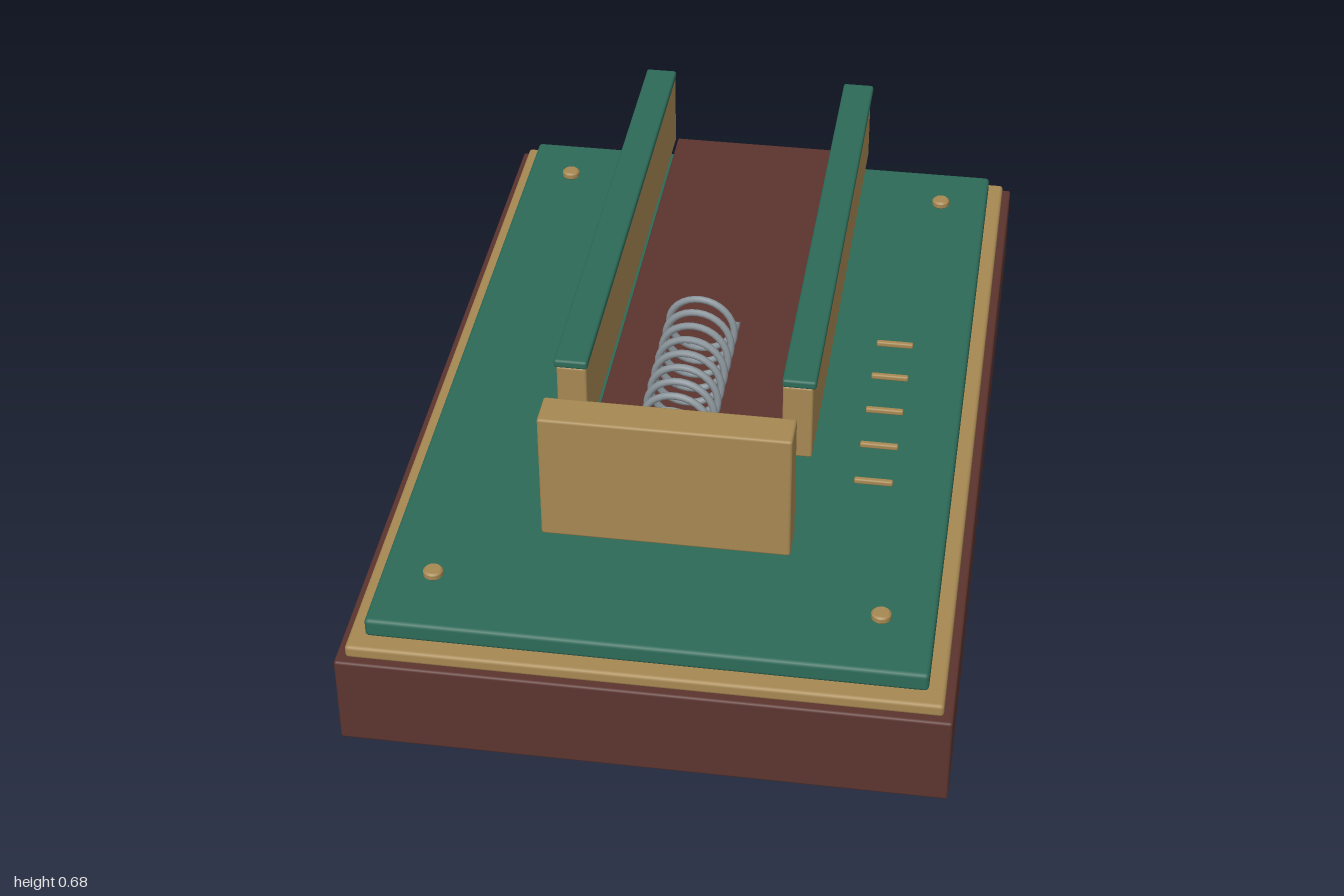
import * as THREE from 'three';
import { RoundedBoxGeometry } from 'three/addons/geometries/RoundedBoxGeometry.js';

const mat = (name, color) => {
  const m = new THREE.MeshStandardMaterial({ color });
  m.name = name;
  return m;
};

export function createModel() {
  const model = new THREE.Group();
  model.name = 'springLauncher';
  const wood = mat('dark brown wood', 0x5c342e);
  const brass = mat('brass', 0xa68852);
  const green = mat('green felt', 0x2d6a58);
  const steel = mat('spring steel', 0x8a949a);
  const rubber = mat('black rubber', 0x232323);

  const add = (name, geometry, material, x = 0, y = 0, z = 0) => {
    const mesh = new THREE.Mesh(geometry, material);
    mesh.name = name;
    mesh.position.set(x, y, z);
    model.add(mesh);
    return mesh;
  };
  // Softly bevelled box given by its limits on each axis
  const block = (name, material, [x0, x1], [y0, y1], [z0, z1], bevel = 0.006) =>
    add(name, new RoundedBoxGeometry(x1 - x0, y1 - y0, z1 - z0, 2, bevel), material,
      (x0 + x1) / 2, (y0 + y1) / 2, (z0 + z1) / 2);
  // Bevelled disc from a turned profile, standing on its local origin
  const disc = (r, h, b, sides = 40) => new THREE.LatheGeometry([
    [0, 0], [r - b, 0], [r - b, 0], [r, b], [r, b], [r, h - b], [r, h - b], [r - b, h], [r - b, h], [0, h],
  ].map(([x, y]) => new THREE.Vector2(x, y)), sides);

  // Stepped base
  block('base', wood, [-0.64, 0.64], [0.07, 0.283], [-1, 1]);
  block('baseTrim', brass, [-0.62, 0.62], [0.28, 0.31], [-0.98, 0.98], 0.008);
  block('deck', green, [-0.585, 0.585], [0.31, 0.354], [-0.942, 0.942], 0.009);

  // Feet and deck screws at the four corners
  for (const sx of [-1, 1]) {
    for (const sz of [-1, 1]) {
      add('foot', disc(0.086, 0.06, 0.01), rubber, sx * 0.52, 0.012, sz * 0.8);
      add('screw', disc(0.021, 0.018, 0.004, 20), brass, sx * 0.472, 0.359, sz * 0.787);
    }
  }

  // Launch channel: floor, two side walls and their caps
  const run = [-0.87, 0.38];
  block('channelFloor', wood, [-0.208, 0.208], [0.416, 0.446], run, 0.005);
  for (const s of [-1, 1]) {
    const side = (a, b) => (s > 0 ? [a, b] : [-b, -a]);
    block('channelWall', brass, side(0.213, 0.279), [0.44, 0.626], run, 0.005);
    block('channelCap', green, side(0.211, 0.285), [0.623, 0.643], run, 0.006);
  }

  // Upright plate at the front
  block('endPlate', brass, [-0.266, 0.266], [0.389, 0.693], [0.573, 0.655]);

  // Coil spring
  const turns = 9, points = [];
  for (let i = 0; i <= turns * 16; i++) {
    const t = i / 16 * Math.PI * 2;
    points.push(new THREE.Vector3(
      0.075 * Math.cos(t), 0.578 + 0.075 * Math.sin(t), 0.545 - 0.46 * i / (turns * 16)));
  }
  add('spring', new THREE.TubeGeometry(new THREE.CatmullRomCurve3(points), turns * 32, 0.008, 8), steel);

  // Round plate under the rear of the channel, with a thin cross mark
  add('rearDisc', disc(0.12, 0.018, 0.004, 48), brass, 0, 0.375, -0.8);
  add('discMark', new THREE.BoxGeometry(0.006, 0.003, 0.16), rubber, 0, 0.394, -0.8);

  // Power scale marks beside the channel
  for (let i = 0; i < 5; i++) {
    block('scaleMark', brass, [0.371, 0.456], [0.361, 0.374],
      [-0.171 + i * 0.129, -0.158 + i * 0.129], 0.004);
  }
  return model;
}
